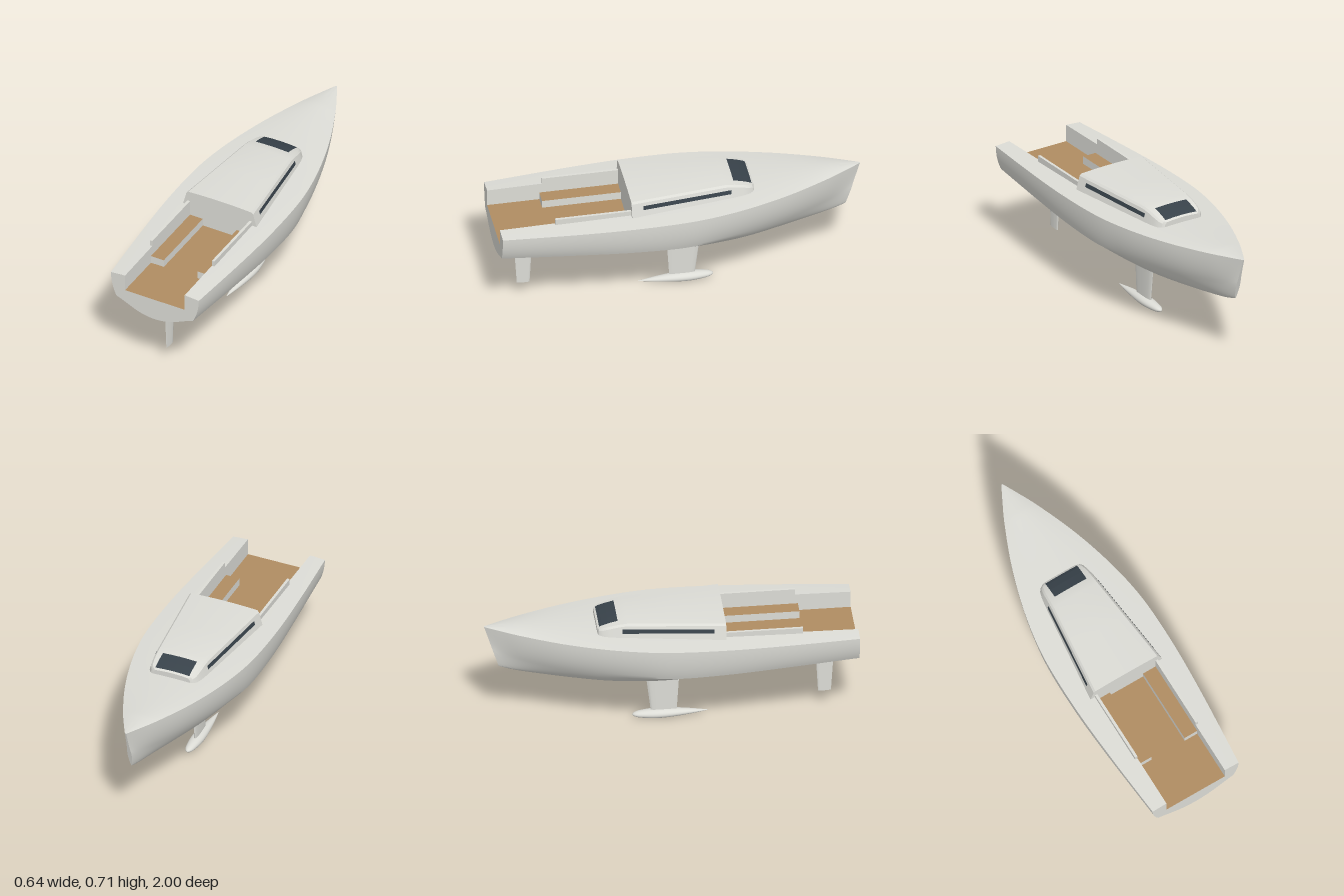
import * as THREE from 'three';
import { mergeGeometries, toCreasedNormals } from 'three/addons/utils/BufferGeometryUtils.js';

const white = new THREE.MeshStandardMaterial({ color: 0xdcdcd6 });
white.name = 'gelcoat white';
const teak = new THREE.MeshStandardMaterial({ color: 0xb08d62 });
teak.name = 'teak brown';
const glass = new THREE.MeshStandardMaterial({ color: 0x38424a, side: THREE.DoubleSide });
glass.name = 'window glass';

const lerp = THREE.MathUtils.lerp;
const COCKPIT_Z = 0.285, COCKPIT_X = 0.183, FLOOR_Y = 0.508, STEPS = 8;

// Skin between rows of [x, y, z] points
function loft(rows) {
  const p = [];
  for (let r = 0; r < rows.length - 1; r++) {
    for (let i = 0; i < rows[r].length - 1; i++) {
      const a = rows[r][i], b = rows[r][i + 1], c = rows[r + 1][i + 1], d = rows[r + 1][i];
      p.push(...a, ...b, ...c, ...a, ...c, ...d);
    }
  }
  const g = new THREE.BufferGeometry();
  g.setAttribute('position', new THREE.Float32BufferAttribute(p, 3));
  return g;
}

// Close a symmetric end row by joining its two halves
function cap(row, flip = false) {
  const h = (row.length + 1) / 2;
  const halves = [row.slice(0, h), row.slice(h - 1).reverse()];
  return loft(flip ? halves.reverse() : halves);
}

const crease = (parts, angle = 0.45) => toCreasedNormals(mergeGeometries(parts), angle);

// Hull stations: z, half beam, sheer y, chine x, chine y, keel y, bilge softness
const stations = [
  [1, 0.27, 0.598, 0.235, 0.453, 0.38, 0],
  [0.6, 0.303, 0.603, 0.268, 0.441, 0.338, 0],
  [COCKPIT_Z, 0.32, 0.608, 0.287, 0.431, 0.309, 0],
  [0, 0.318, 0.613, 0.283, 0.422, 0.296, 0.2],
  [-0.2, 0.295, 0.617, 0.25, 0.425, 0.295, 0.6],
  [-0.4, 0.25, 0.622, 0.2, 0.43, 0.302, 1],
  [-0.6, 0.187, 0.629, 0.14, 0.44, 0.318, 1],
  [-0.8, 0.105, 0.638, 0.073, 0.46, 0.345, 1],
  [-0.92, 0.046, 0.644, 0.034, 0.48, 0.368, 1],
  [-1, 0.004, 0.648, 0.011, 0.5, 0.39, 1],
];

// Smooth interpolation of the station table
function stationAt(t) {
  const last = stations.length - 1;
  const i = Math.min(Math.floor(t), last - 1), f = t - i;
  const [p0, p1, p2, p3] = [i - 1, i, i + 1, i + 2].map(k => stations[Math.min(Math.max(k, 0), last)]);
  return p1.map((v, c) => {
    const m1 = (p2[c] - p0[c]) / 2, m2 = (p3[c] - v) / 2, d = p2[c] - v;
    return v + f * (m1 + f * (3 * d - 2 * m1 - m2 + f * (m1 + m2 - 2 * d)));
  });
}

// Topsides curve down to the chine, then the bottom curve to the keel, mirrored
function hullSection([z, b, s, cx, cy, k, soft]) {
  const v = (x, y) => new THREE.Vector2(x, y);
  const chine = v(cx, cy), keel = v(0, k);
  const bulge = v(lerp(cx, b, 0.92), lerp(cy, s, 0.42));
  const smooth = chine.clone().sub(bulge).setLength(0.35 * chine.distanceTo(keel)).add(chine);
  const ctrl = chine.clone().lerp(keel, 0.3).lerp(smooth, soft);
  const top = new THREE.QuadraticBezierCurve(v(b, s), bulge, chine).getPoints(10);
  const low = new THREE.CubicBezierCurve(chine, ctrl, v(cx * 0.45, k), keel).getPoints(14).slice(1);
  const keelZ = z < 0 ? z - 0.08 * z ** 3 : z;
  const half = [...top, ...low].map(p => [p.x, p.y, lerp(keelZ, z, (p.y - k) / (s - k))]);
  return [...half, ...half.slice(0, -1).reverse().map(([x, y, zz]) => [-x, y, zz])];
}

// Cambered deck height and a deck row between two x positions
const deckY = (st, x) => st[2] + 0.012 * (1 - (x / st[1]) ** 2) * Math.min(1, st[1] / 0.1);
const deckRow = (st, x0, x1, n) => Array.from({ length: n + 1 }, (_, i) => {
  const x = lerp(x0, x1, i / n);
  return [x, deckY(st, x), st[0]];
});

// Cabin stations: z, roof edge y, corner inset
const cabinStations = [
  [COCKPIT_Z, 0.7, 0], [0, 0.7, 0], [-0.24, 0.7, 0], [-0.29, 0.693, 0],
  [-0.34, 0.681, 0.002], [-0.375, 0.67, 0.008], [-0.393, 0.663, 0.02], [-0.4, 0.658, 0.035],
];
const cabinSideX = (z, y) => 0.225 - 0.11 * (COCKPIT_Z - z) - 0.27 * (y - 0.615);

function cabinSection([z, top, inset]) {
  const shoulder = top - 0.01;
  const w = cabinSideX(z, top) - inset - 0.008;
  const row = [[-cabinSideX(z, 0.59) + inset, 0.59, z], [-cabinSideX(z, shoulder) + inset, shoulder, z]];
  for (let i = -5; i <= 5; i++) row.push([w * i / 5, top + 0.006 * (1 - (i / 5) ** 2), z]);
  row.push([-row[1][0], shoulder, z], [-row[0][0], 0.59, z]);
  return row;
}

// Tapered foil; each level is [y, leading z, trailing z, half thickness]
function foil(levels) {
  const rows = levels.map(([y, lead, trail, th]) => Array.from({ length: 25 }, (_, i) => {
    const a = i / 24 * Math.PI * 2;
    return [th * Math.sin(a) * (1 + 0.5 * Math.cos(a)), y, lerp(lead, trail, (1 - Math.cos(a)) / 2)];
  }));
  return crease([loft(rows), cap(rows[rows.length - 1])], 0.7);
}

export function createModel() {
  const boat = new THREE.Group();
  boat.name = 'sailboat';
  const add = (name, geometry, material = white) => {
    if (!geometry.attributes.normal) geometry.computeVertexNormals();
    const mesh = new THREE.Mesh(geometry, material);
    mesh.name = name;
    boat.add(mesh);
    return mesh;
  };
  const box = (name, x0, x1, y0, y1, z0, z1, material) =>
    add(name, new THREE.BoxGeometry(x1 - x0, y1 - y0, z1 - z0), material)
      .position.set((x0 + x1) / 2, (y0 + y1) / 2, (z0 + z1) / 2);

  // Hull shell with a narrow flat stem
  const count = (stations.length - 1) * STEPS;
  const sts = Array.from({ length: count + 1 }, (_, i) => stationAt(i / STEPS));
  const sections = sts.map(hullSection);
  add('hull', crease([loft(sections), cap(sections[count])]));

  // Transom, open in the middle for the cockpit
  const rim = deckY(sts[0], COCKPIT_X);
  const outline = [...sections[0].map(([x, y]) => [x, y]), [-COCKPIT_X, rim],
    [-COCKPIT_X, FLOOR_Y], [COCKPIT_X, FLOOR_Y], [COCKPIT_X, rim]];
  const transom = new THREE.ShapeGeometry(new THREE.Shape(outline.map(p => new THREE.Vector2(...p))));
  add('transom', transom.translate(0, 0, 1));

  // Foredeck and side decks
  const aft = sts.slice(0, 2 * STEPS + 1);
  add('foredeck', crease([loft(sts.slice(2 * STEPS).map(s => deckRow(s, -s[1], s[1], 12)))]));
  add('leftSideDeck', crease([loft(aft.map(s => deckRow(s, COCKPIT_X, s[1], 3)))]));
  add('rightSideDeck', crease([loft(aft.map(s => deckRow(s, -s[1], -COCKPIT_X, 3)))]));

  // Cockpit floor and walls
  const floor = new THREE.PlaneGeometry(2 * COCKPIT_X, 1 - COCKPIT_Z).rotateX(-Math.PI / 2);
  add('cockpitFloor', floor.translate(0, FLOOR_Y, (1 + COCKPIT_Z) / 2), teak);
  const wall = x => aft.map(s => [[x, FLOOR_Y, s[0]], [x, deckY(s, x), s[0]]]);
  add('leftCockpitWall', loft(wall(COCKPIT_X)));
  add('rightCockpitWall', loft(wall(-COCKPIT_X).map(r => r.reverse())));
  const bulkhead = new THREE.PlaneGeometry(2 * COCKPIT_X, 0.59 - FLOOR_Y);
  add('bulkhead', bulkhead.translate(0, (0.59 + FLOOR_Y) / 2, COCKPIT_Z));

  // Benches with teak tops, coamings and cabin side windows
  const benchMaterials = [white, white, teak, white, white, white];
  for (const [side, s] of [['left', 1], ['right', -1]]) {
    const span = (a, b) => (s > 0 ? [a, b] : [-b, -a]);
    box(side + 'Bench', ...span(0.104, COCKPIT_X), FLOOR_Y, 0.552, COCKPIT_Z, 0.715, benchMaterials);
    box(side + 'Coaming', ...span(COCKPIT_X, 0.198), 0.595, 0.642, COCKPIT_Z, 0.7);
    add(side + 'CabinWindow', loft([-0.27, 0.22].map(z =>
      [0.651, 0.673].map(y => [s * (cabinSideX(z, y) + 0.003), y, z]))), glass);
  }

  // Cabin
  const cabinRows = cabinStations.map(cabinSection);
  add('cabin', crease([loft(cabinRows), cap(cabinRows[0], true), cap(cabinRows[cabinRows.length - 1])], 0.4));

  // Forward window lying on the sloping roof
  add('forwardWindow', loft(cabinStations.slice(3, 7).map(([z, top, inset]) =>
    [-0.1, -0.05, 0, 0.05, 0.1].map(x => {
      const w = cabinSideX(z, top) - inset - 0.008;
      return [x, top + 0.006 * (1 - (x / w) ** 2) + 0.003, Math.max(z, -0.39)];
    }))), glass);

  // Keel fin, ballast bulb and rudder
  add('keelFin', foil([[0.33, -0.133, 0.058, 0.009], [0.03, -0.098, 0.04, 0.008]]));
  const profile = [[0, -0.2], [0.013, -0.19], [0.025, -0.16], [0.035, -0.08], [0.033, 0],
    [0.021, 0.1], [0.009, 0.17], [0, 0.215]].map(p => new THREE.Vector2(...p));
  const points = new THREE.SplineCurve(profile).getPoints(32);
  points.forEach(p => { p.x = Math.max(p.x, 0); });
  const bulb = new THREE.LatheGeometry(points, 28).rotateX(Math.PI / 2).scale(1, 0.72, 1);
  add('ballastBulb', bulb.translate(0, 0.0265, 0));
  add('rudder', foil([[0.41, 0.787, 0.892, 0.005], [0.106, 0.803, 0.873, 0.004]]));

  return boat;
}
